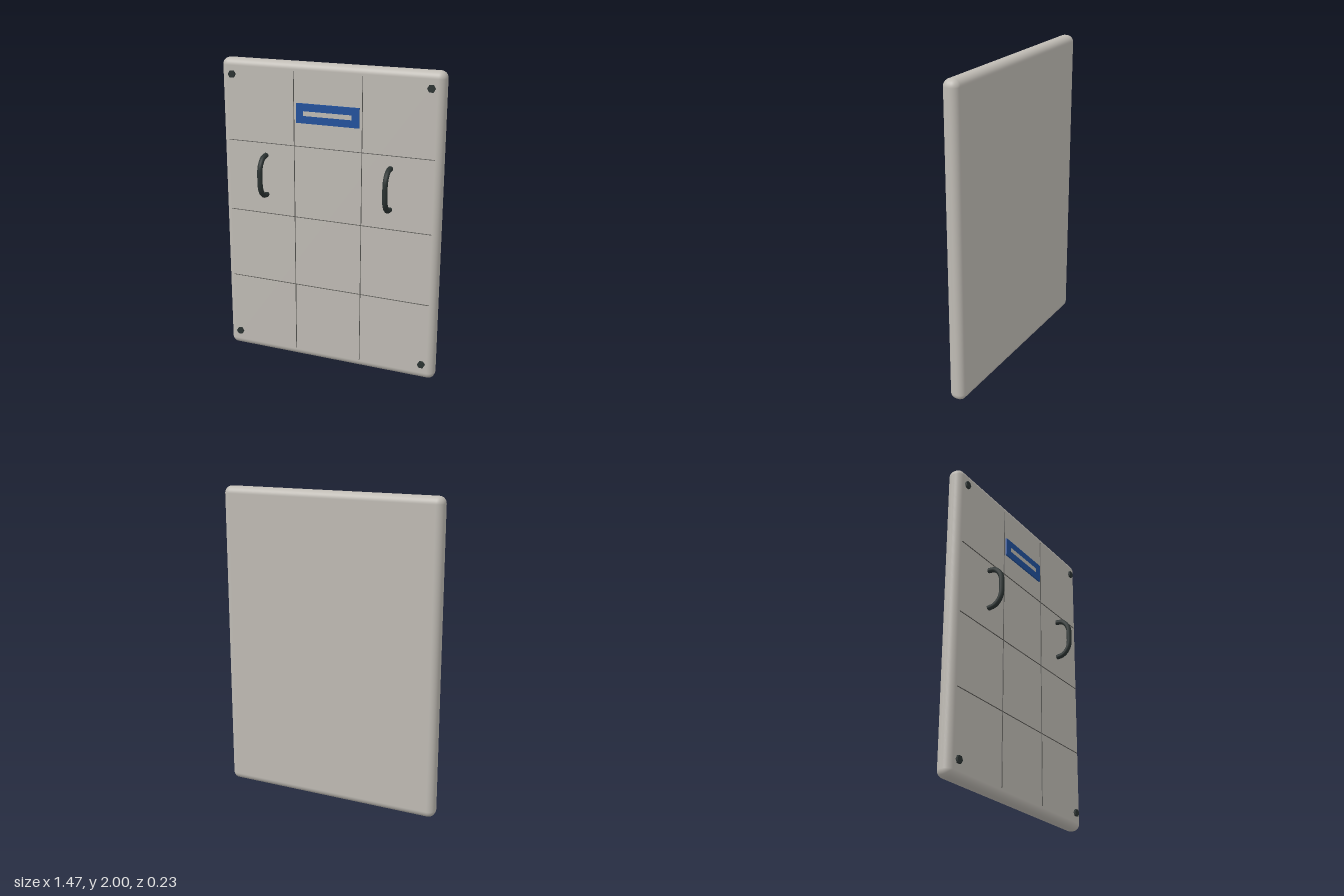
import * as THREE from 'three';
import { RoundedBoxGeometry } from 'three/addons/geometries/RoundedBoxGeometry.js';

const mat = (name, color) => {
  const m = new THREE.MeshStandardMaterial({ color });
  m.name = name;
  return m;
};

export function createModel() {
  const group = new THREE.Group();
  const panelGrey = mat('warm grey', 0xbfbbb4);
  const darkMetal = mat('dark metal', 0x2b3332);
  const blue = mat('blue', 0x21519c);
  const seamGrey = mat('seam grey', 0x5c5b57);

  const add = (name, geometry, material, x, y, z) => {
    const mesh = new THREE.Mesh(geometry, material);
    mesh.name = name;
    mesh.position.set(x, y, z);
    group.add(mesh);
    return mesh;
  };

  // Padded panel with rounded edges
  const front = -0.013;
  add('panel', new RoundedBoxGeometry(1.47, 2, 0.103, 6, 0.045), panelGrey, 0, 1, front - 0.0515);

  // Fine seams dividing the front into three columns and four rows
  for (const x of [-0.228, 0.228])
    add('verticalSeam', new THREE.BoxGeometry(0.003, 1.89, 0.01), seamGrey, x, 1, front);
  for (const y of [0.527, 1, 1.473])
    add('horizontalSeam', new THREE.BoxGeometry(1.38, 0.003, 0.01), seamGrey, 0, y, front);

  // Name plate with a pale inset strip
  add('namePlate', new THREE.BoxGeometry(0.42, 0.125, 0.0095), blue, 0, 1.687, front + 0.0048);
  add('namePlateStrip', new THREE.BoxGeometry(0.32, 0.03, 0.006), panelGrey, 0, 1.687, front + 0.0075);

  // Hexagonal corner bolts
  const boltGeo = new THREE.CylinderGeometry(0.025, 0.025, 0.022, 6).rotateY(Math.PI / 6).rotateX(Math.PI / 2);
  for (const x of [-0.655, 0.655])
    for (const y of [0.107, 1.9]) add('cornerBolt', boltGeo, darkMetal, x, y, -0.01);

  // Bowed grab handles with closed ends
  const half = [[0.132, 0.003], [0.122, 0.053], [0.075, 0.092]];
  const points = [...half, [0, 0.1], ...half.slice().reverse().map(([y, z]) => [-y, z])]
    .map(([y, z]) => new THREE.Vector3(0, y, z));
  const curve = new THREE.CatmullRomCurve3(points);
  const tubeGeo = new THREE.TubeGeometry(curve, 28, 0.017, 10, false);
  const capGeo = new THREE.CircleGeometry(0.017, 10);
  for (const x of [-0.42, 0.42]) {
    const handle = new THREE.Group();
    handle.name = 'handle';
    handle.position.set(x, 1.265, 0);
    const grip = new THREE.Mesh(tubeGeo, darkMetal);
    grip.name = 'grip';
    handle.add(grip);
    for (const t of [0, 1]) {
      const cap = new THREE.Mesh(capGeo, darkMetal);
      cap.name = 'gripEnd';
      cap.position.copy(curve.getPointAt(t));
      const out = curve.getTangentAt(t).multiplyScalar(t ? 1 : -1);
      cap.quaternion.setFromUnitVectors(new THREE.Vector3(0, 0, 1), out);
      handle.add(cap);
    }
    group.add(handle);
  }
  return group;
}
